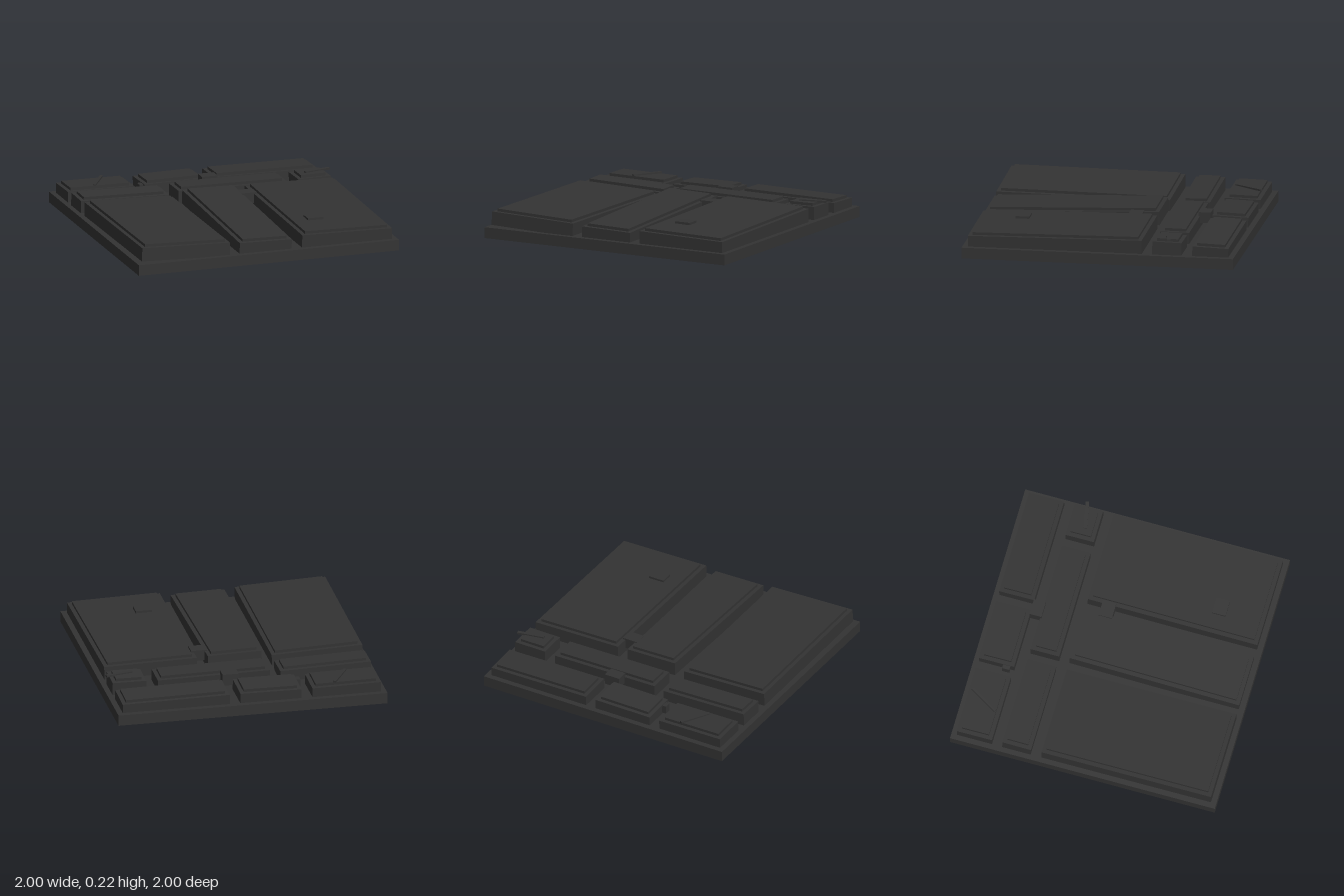
import * as THREE from 'three';

export function createModel() {
  const model = new THREE.Group();
  const stone = new THREE.MeshStandardMaterial({ color: 0x333333 });
  stone.name = 'dark stone';

  function box(name, w, h, d, x, y, z, parent = model) {
    const mesh = new THREE.Mesh(new THREE.BoxGeometry(w, h, d), stone);
    mesh.name = name;
    mesh.position.set(x, y, z);
    parent.add(mesh);
    return mesh;
  }

  // Ground slab
  box('base', 2, 0.08, 2, 0, 0.04, 0);

  // Paving slabs: x range, z range, height of body top, slope along x and z
  const slabs = [
    ['frontLeftSlab', -0.96, -0.285, -0.32, 0.96, 0.178, -0.033, 0.008],
    ['frontMiddleSlab', -0.21, 0.19, -0.32, 0.96, 0.178, -0.02, -0.035],
    ['frontRightSlab', 0.27, 0.96, -0.32, 0.96, 0.176, -0.018, -0.014],
    ['middleLeftSlab', -0.96, -0.285, -0.615, -0.4, 0.164, -0.025, -0.02],
    ['middleCentreSlab', -0.21, 0.625, -0.615, -0.4, 0.17, -0.01, 0.01],
    ['middleRightSlab', 0.71, 0.96, -0.615, -0.4, 0.174, 0.01, 0.02],
    ['backLeftSlab', -0.96, -0.45, -0.96, -0.695, 0.154, -0.01, 0.02],
    ['backCentreSlab', -0.37, 0.085, -0.96, -0.695, 0.155, 0.01, 0.03],
    ['backRightSlab', 0.165, 0.96, -0.96, -0.695, 0.153, -0.01, 0.03],
  ];
  for (const [name, x0, x1, z0, z1, top, slopeX, slopeZ] of slabs) {
    const slab = new THREE.Group();
    slab.name = name;
    slab.position.set((x0 + x1) / 2, top, (z0 + z1) / 2);
    slab.rotation.set(-Math.atan(slopeZ), 0, Math.atan(slopeX));
    const w = x1 - x0, d = z1 - z0;
    box('slabBody', w, 0.1, d, 0, -0.05, 0, slab);
    box('slabCap', w - 0.06, 0.025, d - 0.06, 0, 0.0075, 0, slab);
    model.add(slab);
  }

  // Loose rubble
  box('rubbleBack', 0.12, 0.08, 0.09, 0.1, 0.16, -0.65);
  box('rubbleGap', 0.12, 0.08, 0.1, 0.23, 0.16, -0.16);
  box('rubbleFront', 0.12, 0.08, 0.1, 0.47, 0.17, 0.63);
  box('rubbleLeft', 0.12, 0.06, 0.055, -0.34, 0.12, -0.75);

  // Thin splinters lying on the slabs
  box('splinterLeft', 0.24, 0.014, 0.02, -0.68, 0.178, -0.835).rotation.y = 1.03;
  box('splinterRight', 0.205, 0.014, 0.025, 0.89, 0.197, -0.507).rotation.y = 0.2;

  return model;
}
